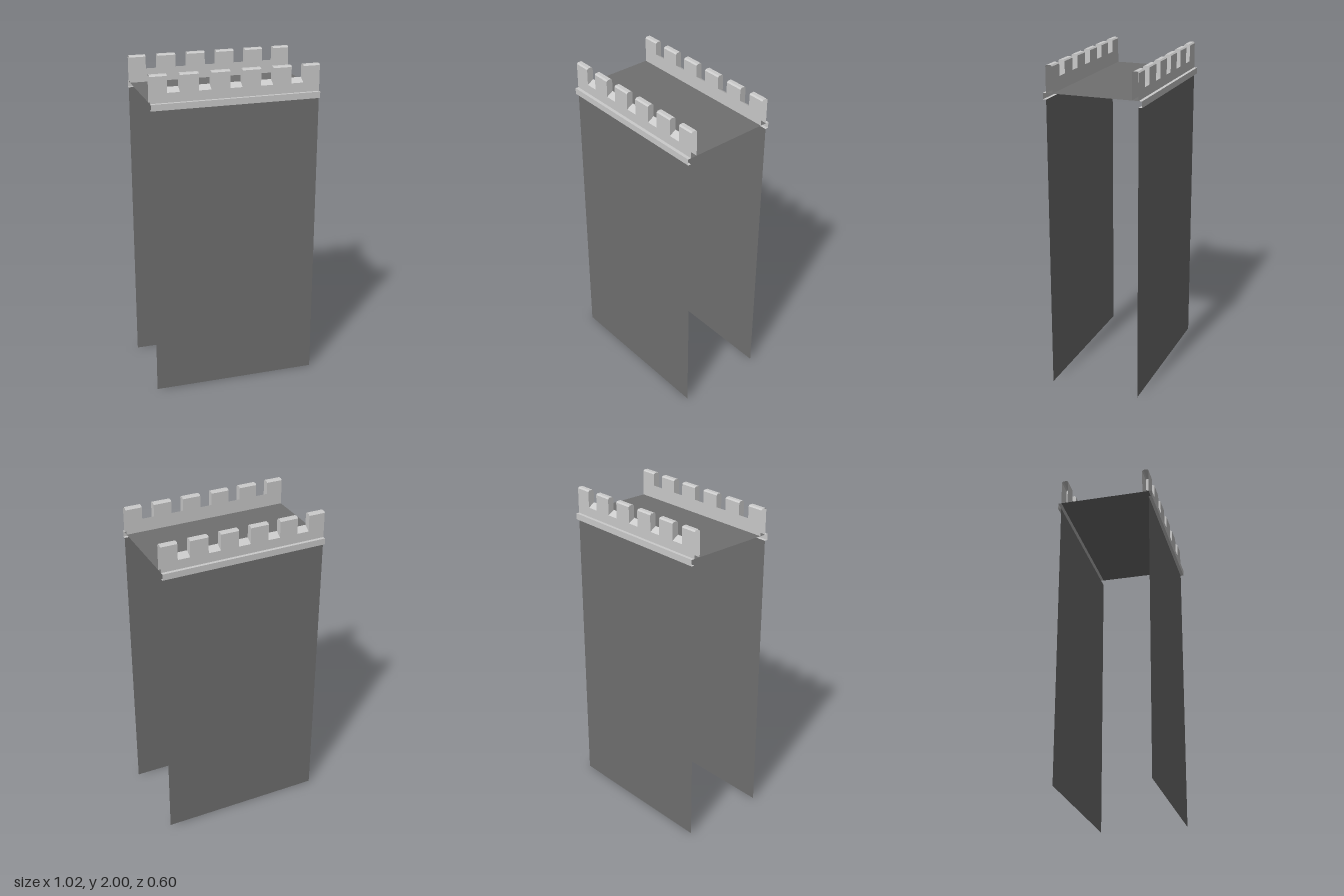
import * as THREE from 'three';
import { mergeGeometries } from 'three/addons/utils/BufferGeometryUtils.js';

const HALF = 0.51;                    // half the length of the wall section
const PITCH = 0.186, GAP = 0.074;     // spacing and width of the crenels
const OUT = 0.28, IN = 0.24;          // outer and inner planes of the parapet
const SILL_OUT = 1.895, SILL_IN = 1.92;
const DECK = 1.838, WALL_TOP = 1.8, TOP = 2, BEVEL = 0.008;

const stone = new THREE.MeshStandardMaterial({ color: 0xcccccc, side: THREE.DoubleSide, flatShading: true });
const dark = new THREE.MeshStandardMaterial({ color: 0x707070, side: THREE.DoubleSide, flatShading: true });

// Sweep an open [z, y] profile along x, with flat facets
function strip(profile, x0, x1) {
  const pos = [];
  for (let i = 0; i < profile.length - 1; i++) {
    const [z0, y0] = profile[i], [z1, y1] = profile[i + 1];
    pos.push(x0, y0, z0, x1, y0, z0, x1, y1, z1);
    pos.push(x0, y0, z0, x1, y1, z1, x0, y1, z1);
  }
  const g = new THREE.BufferGeometry();
  g.setAttribute('position', new THREE.Float32BufferAttribute(pos, 3));
  g.computeVertexNormals();
  return g;
}

// Flat end face of a [z, y] profile at x, facing +x or -x
function endFace(profile, x, dir) {
  const shape = new THREE.Shape(profile.map(([z, y]) => new THREE.Vector2(-dir * z, y)));
  const g = new THREE.ShapeGeometry(shape).toNonIndexed();
  g.deleteAttribute('uv');
  return g.rotateY(dir * Math.PI / 2).translate(x, 0, 0);
}

function mesh(name, geometry, material) {
  const m = new THREE.Mesh(geometry, material);
  m.name = name;
  return m;
}

// One long side: wall, ledge, parapet and merlons, facing +z
function createSide(name) {
  const side = new THREE.Group();
  side.name = name;

  side.add(mesh('wall', strip([[OUT, 0], [OUT, WALL_TOP]], -HALF, HALF), dark));
  side.add(mesh('ledge', strip([[OUT, WALL_TOP], [0.3, WALL_TOP], [0.3, DECK], [OUT, DECK]], -HALF, HALF), stone));
  side.add(mesh('parapet', mergeGeometries([
    strip([[OUT, DECK], [OUT, SILL_OUT]], -HALF, HALF),
    strip([[IN, SILL_IN], [IN, DECK]], -HALF, HALF),
  ]), stone));

  // Bevelled merlons, left open at the two ends of the section
  const profile = [
    [OUT, SILL_OUT], [OUT, TOP - BEVEL], [OUT - BEVEL, TOP],
    [IN + BEVEL, TOP], [IN, TOP - BEVEL], [IN, SILL_IN],
  ];
  const count = 6;
  for (let i = 0; i < count; i++) {
    const c = (i - (count - 1) / 2) * PITCH;
    const first = i === 0, last = i === count - 1;
    const x0 = first ? -HALF : c - (PITCH - GAP) / 2;
    const x1 = last ? HALF : c + (PITCH - GAP) / 2;
    const parts = [strip(profile, x0, x1)];
    if (!first) parts.push(endFace(profile, x0, -1));
    if (!last) parts.push(endFace(profile, x1, 1));
    side.add(mesh('merlon', mergeGeometries(parts), stone));
    // Sloping sill of the crenel beside it
    if (!last) side.add(mesh('crenelSill', strip([[OUT, SILL_OUT], [IN, SILL_IN]], x1, x1 + GAP), stone));
  }
  return side;
}

export function createModel() {
  const model = new THREE.Group();
  model.name = 'castleWall';

  const front = createSide('frontSide');
  const back = createSide('backSide');
  back.rotation.y = Math.PI;
  model.add(front, back);

  // Walkway between the parapets
  model.add(mesh('walkway', strip([[OUT, DECK], [-OUT, DECK]], -HALF, HALF), dark));
  return model;
}
